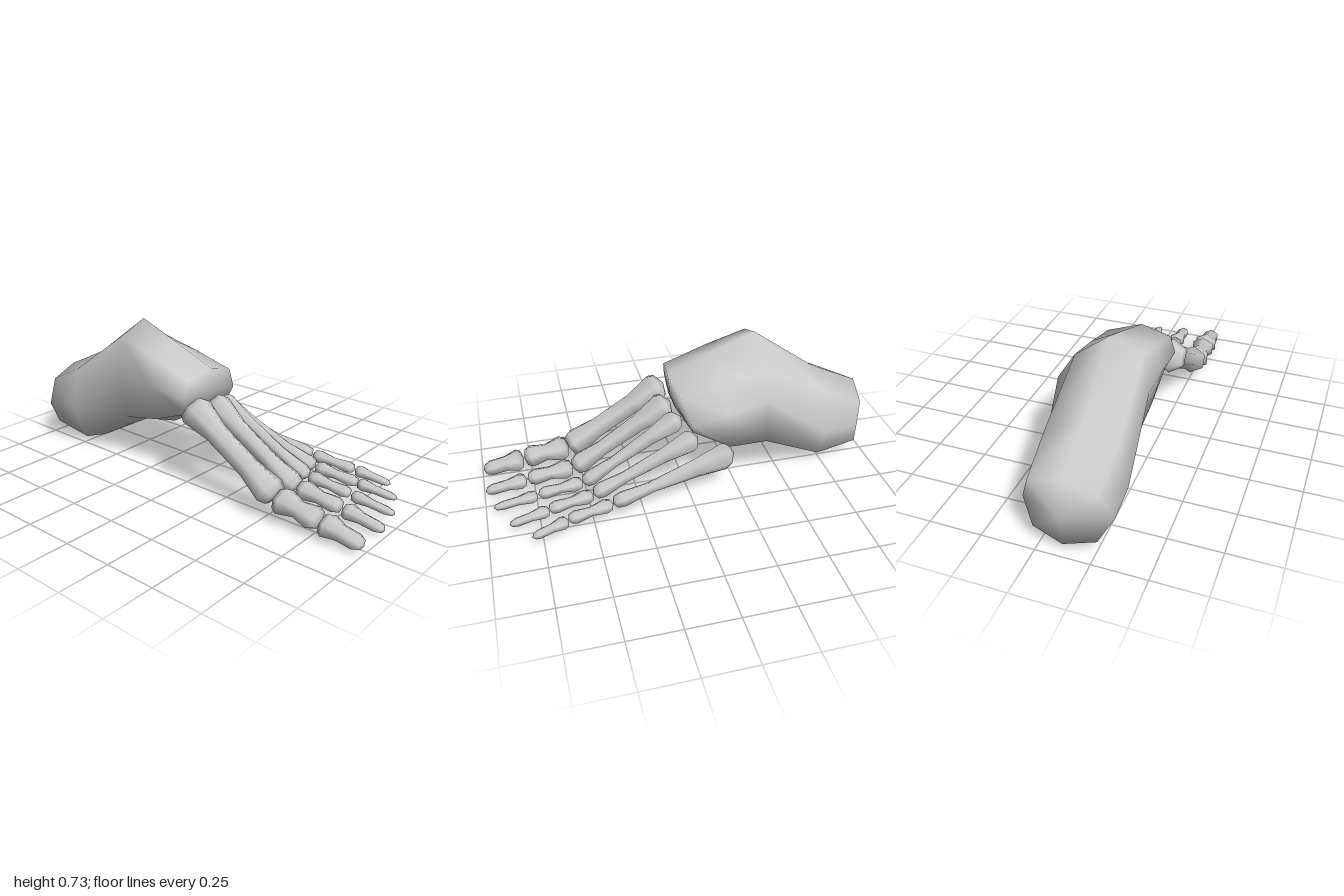
import * as THREE from 'three';

const material = new THREE.MeshStandardMaterial({ color: 0xcccccc });

// Skin rings of [x, y, z] points (counter-clockwise seen from +z, ordered towards +z)
// and close both ends with a fan around a centre point; normals stay smooth.
function loft(rings, startPoint, endPoint) {
  const n = rings[0].length;
  const points = [...rings.flat(), startPoint, endPoint];
  const start = points.length - 2, end = points.length - 1, last = (rings.length - 1) * n;
  const index = [];
  for (let j = 0; j < n; j++) {
    const k = (j + 1) % n;
    for (let i = 0; i < last; i += n) {
      index.push(i + j, i + k, i + n + k, i + j, i + n + k, i + n + j);
    }
    index.push(start, k, j, end, last + j, last + k);
  }
  const geometry = new THREE.BufferGeometry();
  geometry.setAttribute('position', new THREE.Float32BufferAttribute(points.flat(), 3));
  geometry.setIndex(index);
  geometry.computeVertexNormals();
  return geometry;
}

// Six-sided bone from a to b; each profile entry is [fraction of length, half width, half height].
function bone(name, a, b, profile, startBulge, endBulge) {
  const from = new THREE.Vector3(...a), to = new THREE.Vector3(...b);
  const length = from.distanceTo(to);
  const rings = profile.map(([t, w, h]) => Array.from({ length: 6 }, (_, i) => {
    const angle = Math.PI / 2 + i * Math.PI / 3;
    return [Math.cos(angle) * w / 0.866, Math.sin(angle) * h, t * length];
  }));
  const mesh = new THREE.Mesh(loft(rings, [0, 0, -startBulge], [0, 0, length + endBulge]), material);
  mesh.name = name;
  mesh.position.copy(from);
  mesh.lookAt(to);
  return mesh;
}

// Heel and ankle mass: rings run top, inner side, bottom, outer side.
function tarsus() {
  const heel = [
    [-0.115, 0.375, -0.97], [-0.27, 0.33, -0.945], [-0.33, 0.21, -0.92], [-0.26, 0.08, -0.945],
    [-0.115, 0.045, -0.97], [0.03, 0.08, -0.945], [0.08, 0.21, -0.92], [0.04, 0.33, -0.945]];
  const back = [
    [-0.115, 0.49, -0.73], [-0.28, 0.43, -0.74], [-0.322, 0.22, -0.74], [-0.24, 0.035, -0.74],
    [-0.115, 0.01, -0.73], [0.03, 0.035, -0.74], [0.085, 0.2, -0.74], [0.05, 0.43, -0.74]];
  const ankle = [
    [-0.115, 0.73, -0.4], [-0.27, 0.67, -0.4], [-0.298, 0.48, -0.4], [-0.25, 0.24, -0.4],
    [-0.115, 0.19, -0.4], [0.165, 0.265, -0.39], [0.135, 0.47, -0.4], [0.05, 0.605, -0.4]];
  const middle = [
    [-0.115, 0.655, -0.2], [-0.27, 0.61, -0.2], [-0.295, 0.47, -0.2], [-0.25, 0.28, -0.2],
    [-0.115, 0.23, -0.2], [0.172, 0.27, -0.2], [0.135, 0.43, -0.2], [0.05, 0.565, -0.2]];
  const front = [
    [-0.115, 0.56, 0.045], [-0.265, 0.53, 0.03], [-0.295, 0.45, 0.02], [-0.25, 0.36, 0.01],
    [-0.115, 0.34, 0.0], [0.09, 0.33, -0.03], [0.13, 0.39, -0.02], [0.05, 0.51, 0.02]];
  const mesh = new THREE.Mesh(
    loft([heel, back, ankle, middle, front], [-0.115, 0.205, -1], [-0.1, 0.44, 0.035]), material);
  mesh.name = 'heelAndAnkle';
  return mesh;
}

// One ray per toe: metatarsal m, proximal phalanx p, distal phalanx d (start, end),
// half size of the base [w, h], then radii of the knuckle and the toe joint.
const RAYS = [
  { name: 'bigToe', m: [[-0.26, 0.408, 0.055], [-0.262, 0.113, 0.535]],
    p: [[-0.264, 0.105, 0.56], [-0.264, 0.075, 0.77]], d: [[-0.264, 0.07, 0.795], [-0.264, 0.037, 0.982]],
    base: [0.071, 0.085], head: 0.067, toe: 0.057 },
  { name: 'secondToe', m: [[-0.113, 0.386, 0.055], [-0.098, 0.094, 0.535]],
    p: [[-0.097, 0.092, 0.56], [-0.092, 0.067, 0.77]], d: [[-0.091, 0.062, 0.795], [-0.089, 0.031, 0.982]],
    base: [0.063, 0.078], head: 0.051, toe: 0.04 },
  { name: 'middleToe', m: [[-0.007, 0.355, 0.025], [0.034, 0.092, 0.505]],
    p: [[0.037, 0.09, 0.53], [0.046, 0.066, 0.73]], d: [[0.048, 0.062, 0.755], [0.058, 0.035, 0.95]],
    base: [0.045, 0.068], head: 0.037, toe: 0.031 },
  { name: 'fourthToe', m: [[0.088, 0.288, -0.035], [0.14, 0.092, 0.47]],
    p: [[0.146, 0.088, 0.495], [0.169, 0.064, 0.695]], d: [[0.174, 0.06, 0.712], [0.198, 0.033, 0.885]],
    base: [0.041, 0.07], head: 0.037, toe: 0.031 },
  { name: 'littleToe', m: [[0.16, 0.217, -0.2], [0.238, 0.097, 0.39]],
    p: [[0.244, 0.093, 0.415], [0.274, 0.07, 0.615]], d: [[0.28, 0.065, 0.635], [0.312, 0.033, 0.79]],
    base: [0.032, 0.085], head: 0.035, toe: 0.031 },
];

function ray({ name, m, p, d, base, head, toe }) {
  const group = new THREE.Group();
  group.name = name;
  const [w, h] = base;
  group.add(
    // Long bone, flared at both ends
    bone('metatarsal', ...m, [[0, w * 0.85, h * 0.8], [0.05, w, h], [0.3, (w + head) * 0.34, h * 0.68],
      [0.7, head * 0.68, head * 0.85], [0.94, head, head * 1.08], [1, head * 0.8, head * 0.85]], 0.025, 0.015),
    // Waisted toe bone
    bone('proximalPhalanx', ...p, [[0, head * 0.75, head * 0.75], [0.14, head * 0.95, head],
      [0.5, head * 0.6, head * 0.66], [0.87, toe, toe], [1, toe * 0.72, toe * 0.75]], 0.012, 0.012),
    // Toe tip, tapering to a rounded end
    bone('distalPhalanx', ...d, [[0, toe * 0.78, toe * 0.78], [0.12, toe, toe],
      [0.45, toe * 0.64, toe * 0.75], [0.85, toe * 0.66, toe * 0.7], [1, toe * 0.45, toe * 0.45]], 0.012, 0.012));
  return group;
}

export function createModel() {
  const model = new THREE.Group();
  model.name = 'footSkeleton';
  model.add(tarsus(), ...RAYS.map(ray));
  return model;
}
